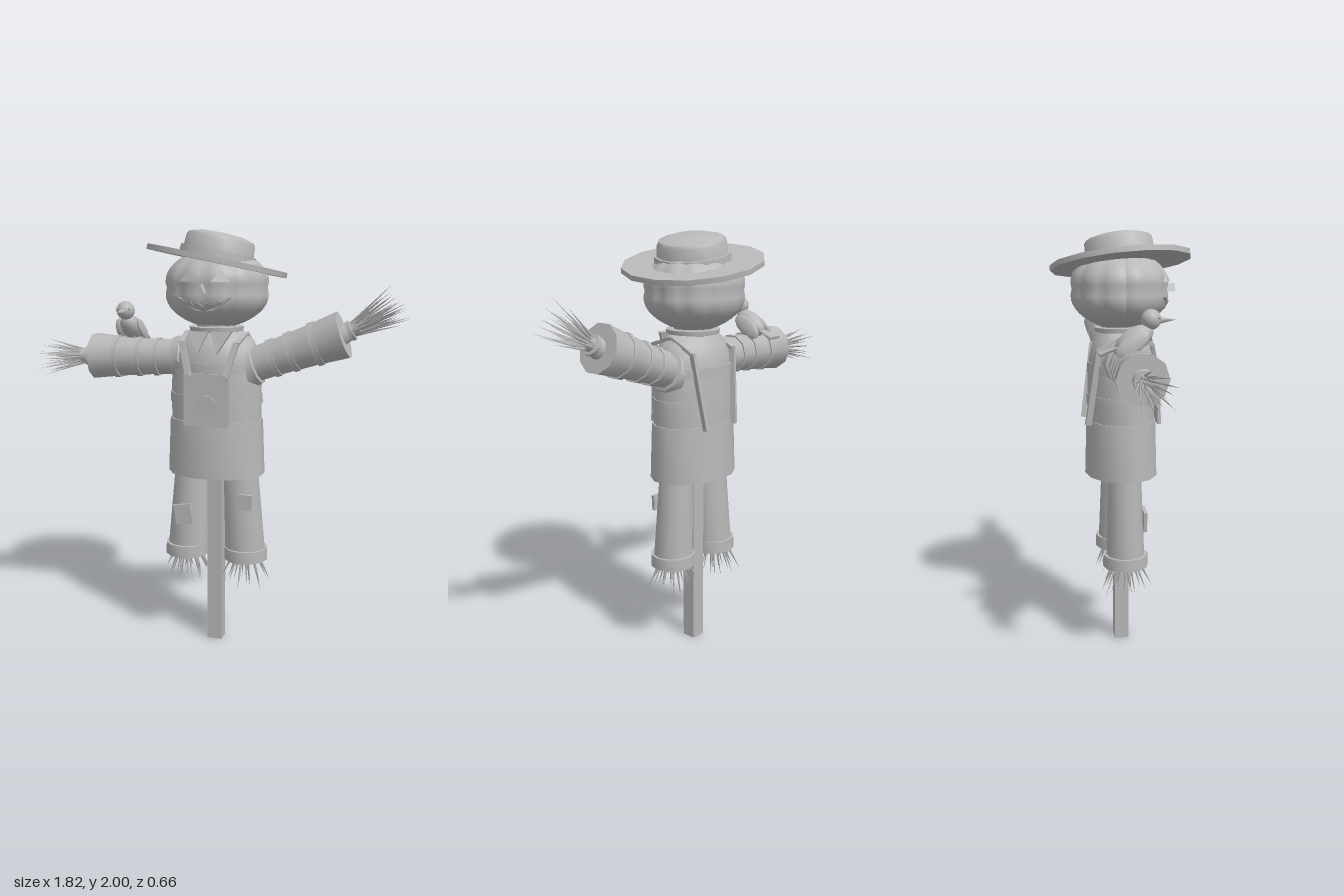
import * as THREE from 'three';
import { mergeGeometries, toCreasedNormals } from 'three/addons/utils/BufferGeometryUtils.js';

const grey = new THREE.MeshStandardMaterial({ color: 0xb8b8b8 });
grey.name = 'plain grey';

let seed = 7;
const rand = () => (seed = (seed * 16807) % 2147483647) / 2147483647;

function add(parent, name, geometry, x = 0, y = 0, z = 0) {
  const mesh = new THREE.Mesh(geometry, grey);
  mesh.name = name;
  mesh.position.set(x, y, z);
  parent.add(mesh);
  return mesh;
}

// Turned profile, listed bottom to top, optionally flattened in z
function turned(points, sides, sx = 1, sz = 1) {
  const g = new THREE.LatheGeometry(points.map(p => new THREE.Vector2(...p)), sides);
  g.scale(sx, 1, sz);
  return toCreasedNormals(g, 0.7);
}

// Bundle of thin straws pointing up +y from the origin
function straw(count, length, spread, radius) {
  const parts = [];
  for (let i = 0; i < count; i++) {
    const l = length * (0.7 + 0.3 * rand());
    const g = new THREE.ConeGeometry(0.008, l, 4);
    g.translate(0, l / 2, 0);
    const lean = spread * Math.sqrt((i + 0.5) / count);
    const turn = i * 2.4;
    g.rotateZ(-lean);
    g.translate(radius * lean / spread, 0, 0);
    g.rotateY(turn);
    parts.push(g);
  }
  return mergeGeometries(parts);
}

// Flat strip between two points, its broad face turned to z
function strip(parent, name, a, b, width, thick) {
  const p = new THREE.Vector3(...a), q = new THREE.Vector3(...b);
  const m = add(parent, name, new THREE.BoxGeometry(width, p.distanceTo(q), thick));
  m.position.copy(p).add(q).multiplyScalar(0.5);
  m.quaternion.setFromUnitVectors(new THREE.Vector3(0, 1, 0), q.sub(p).normalize());
}

const HEAD = { x: 0.235, y: 0.185, z: 0.222 };

// Pumpkin with pinched ribs
function pumpkin() {
  const g = new THREE.SphereGeometry(1, 60, 24);
  const p = g.attributes.position;
  for (let i = 0; i < p.count; i++) {
    const a = Math.atan2(p.getZ(i), p.getX(i));
    const r = 0.95 + 0.05 * Math.sqrt(Math.abs(Math.sin(a * 6)));
    const y = p.getY(i);
    const fat = 1 + 0.07 * (1 - Math.abs(y)) * Math.abs(y) * 4;
    p.setXYZ(i, p.getX(i) * r * fat * HEAD.x, y * HEAD.y, p.getZ(i) * r * fat * HEAD.z);
  }
  g.computeVertexNormals();
  return g;
}

// Carved shape laid over the curved face
function carving(points) {
  const g = new THREE.ExtrudeGeometry(new THREE.Shape(points.map(p => new THREE.Vector2(...p))),
    { depth: 0.04, bevelEnabled: false });
  const p = g.attributes.position;
  for (let i = 0; i < p.count; i++) {
    const u = p.getX(i) / HEAD.x, v = p.getY(i) / HEAD.y;
    p.setZ(i, p.getZ(i) - 0.022 + HEAD.z * Math.sqrt(Math.max(0, 1 - u * u - v * v)));
  }
  g.computeVertexNormals();
  return g;
}

function buildHead() {
  const head = new THREE.Group();
  head.name = 'head';
  head.position.set(0.01, 1.74, -0.008);
  add(head, 'pumpkin', pumpkin());
  for (const s of [-1, 1]) {
    const eye = [[0.04, 0.035], [0.115, 0.035], [0.075, 0.09]].map(([x, y]) => [x * s, y]);
    add(head, 'eye', carving(s < 0 ? eye.reverse() : eye));
  }
  add(head, 'nose', carving([[-0.018, -0.012], [0.018, -0.012], [0, 0.025]]), 0, 0, 0.025);
  const mouth = [[-0.12, -0.035], [-0.085, -0.07], [-0.04, -0.092], [0, -0.096], [0.04, -0.092],
    [0.085, -0.07], [0.12, -0.035], [0.085, -0.052], [0.06, -0.05], [0.05, -0.066], [0.02, -0.06],
    [0, -0.074], [-0.02, -0.06], [-0.05, -0.066], [-0.06, -0.05], [-0.085, -0.052]];
  add(head, 'mouth', carving(mouth));
  return head;
}

function buildHat() {
  const hat = new THREE.Group();
  hat.name = 'hat';
  hat.position.set(0.01, 1.862, 0);
  hat.rotation.set(-0.08, 0, -0.19);
  add(hat, 'brim', turned([[0, -0.012], [0.33, -0.012], [0.33, 0.012], [0, 0.012]], 14));
  add(hat, 'crown', turned([[0.168, 0], [0.16, 0.095], [0.15, 0.11], [0.1, 0.124], [0, 0.13]], 14));
  add(hat, 'hatBand', turned([[0.18, 0.01], [0.176, 0.045], [0.16, 0.045]], 14));
  return hat;
}

function buildArm(name, x, y, angle, length, handTurn) {
  const arm = new THREE.Group();
  arm.name = name;
  arm.position.set(x, y, 0);
  arm.rotation.z = angle;
  const radius = t => 0.083 + 0.029 * t * t;
  const profile = [0, 0.35, 0.7, 1].map(t => [radius(t), t * length]);
  add(arm, 'sleeve', turned([[0, 0], ...profile, [0, length]], 10));
  add(arm, 'shoulderCuff', turned([[0.085, 0.0], [0.108, 0.03], [0.1, 0.075], [0.085, 0.08]], 10));
  for (const t of [0.33, 0.51, 0.74]) {
    const r = radius(t) + 0.007, h = t * length;
    add(arm, 'sleeveStripe', turned([[r - 0.015, h - 0.013], [r, h - 0.013], [r, h + 0.013], [r - 0.015, h + 0.013]], 10));
  }
  // Straw hand tied at the wrist
  const hand = new THREE.Group();
  hand.name = 'hand';
  hand.position.y = length;
  hand.rotation.z = handTurn;
  add(hand, 'wrist', turned([[0.05, -0.02], [0.045, 0.015], [0.033, 0.04], [0.036, 0.075], [0, 0.08]], 10));
  add(hand, 'wristTie', turned([[0.03, 0.025], [0.048, 0.027], [0.048, 0.045], [0.03, 0.047]], 10));
  add(hand, 'handStraw', straw(26, 0.27, 0.3, 0.028), 0, 0.045, 0);
  arm.add(hand);
  return arm;
}

function buildLeg(s) {
  const leg = new THREE.Group();
  leg.name = s > 0 ? 'leftLeg' : 'rightLeg';
  leg.position.x = 0.01;
  const tube = turned([[0, 0.45], [0.102, 0.45], [0.085, 0.9], [0, 0.9]], 12, 1, 0.92);
  const p = tube.attributes.position;
  for (let i = 0; i < p.count; i++) p.setX(i, p.getX(i) + s * (0.148 - 0.06 * (p.getY(i) - 0.45)));
  add(leg, 'trouserLeg', tube);
  add(leg, 'trouserCuff', turned([[0, 0.437], [0.108, 0.437], [0.107, 0.495], [0.09, 0.495]], 12), s * 0.15, 0, 0);
  const tuft = add(leg, 'footStraw', straw(22, 0.16, 0.5, 0.07), s * 0.15, 0.45, 0);
  tuft.rotation.x = Math.PI;
  return leg;
}

function buildBird() {
  const bird = new THREE.Group();
  bird.name = 'bird';
  bird.position.set(-0.42, 1.5, 0);
  const body = add(bird, 'birdBody', new THREE.SphereGeometry(1, 12, 8), 0, 0.05, -0.005);
  body.scale.set(0.05, 0.05, 0.09);
  body.rotation.x = -0.55;
  add(bird, 'birdHead', new THREE.SphereGeometry(0.044, 12, 8), 0, 0.133, 0.065);
  const beak = add(bird, 'beak', new THREE.ConeGeometry(0.016, 0.07, 6), 0, 0.13, 0.135);
  beak.rotation.x = Math.PI / 2;
  const tail = add(bird, 'birdTail', new THREE.CylinderGeometry(0.05, 0.022, 0.1, 4, 1).rotateY(Math.PI / 4), 0, 0.005, -0.11);
  tail.rotation.x = -Math.PI / 2 - 0.35;
  tail.scale.z = 0.2;
  for (const s of [-1, 1]) {
    const wing = add(bird, 'wing', new THREE.SphereGeometry(1, 10, 6), s * 0.052, 0.035, -0.02);
    wing.scale.set(0.014, 0.04, 0.085);
    wing.rotation.set(-0.6, 0, s * 0.25);
    add(bird, 'birdEye', new THREE.SphereGeometry(0.008, 6, 4), s * 0.03, 0.142, 0.095);
    add(bird, 'birdLeg', new THREE.CylinderGeometry(0.005, 0.005, 0.05, 5), s * 0.02, -0.002, 0.01);
  }
  return bird;
}

export function createModel() {
  const model = new THREE.Group();
  model.name = 'scarecrow';
  add(model, 'post', new THREE.BoxGeometry(0.072, 1.5, 0.068), 0.01, 0.75, 0);

  // Shirt, stripes and overall skirt, wider than deep
  const flat = 0.74;
  add(model, 'shirt', turned([[0.218, 1.1], [0.217, 1.3], [0.208, 1.42], [0.18, 1.5], [0.125, 1.545], [0, 1.55]], 14, 1, flat), 0.01);
  for (const [y, r] of [[1.23, 0.218], [1.38, 0.213]])
    add(model, 'shirtStripe', turned([[r - 0.01, y - 0.024], [r + 0.005, y - 0.024], [r + 0.004, y + 0.024], [r - 0.012, y + 0.024]], 14, 1, flat), 0.01);
  add(model, 'overallSkirt', turned([[0, 0.865], [0.236, 0.865], [0.225, 1.13], [0.2, 1.13]], 14, 1, flat), 0.01);

  // Neck and collar
  add(model, 'neck', new THREE.CylinderGeometry(0.09, 0.1, 0.1, 12), 0.01, 1.56, 0);
  add(model, 'collarRing', turned([[0.1, 1.54], [0.125, 1.545], [0.128, 1.565], [0.1, 1.567]], 14), 0.01);
  for (const s of [-1, 1]) {
    const flap = new THREE.Shape([[0.005, 0], [0.105, 0], [0.045, -0.1]].map(([x, y]) => new THREE.Vector2(x * s, y)));
    const m = add(model, 'collarFlap', new THREE.ExtrudeGeometry(flap, { depth: 0.015, bevelEnabled: false }), 0.01, 1.545, 0.11);
    m.rotation.x = -0.3;
  }

  // Bib, pocket patch, straps and buttons
  const bib = add(model, 'bib', new THREE.BoxGeometry(0.215, 0.245, 0.016), 0.01, 1.238, 0.164);
  bib.rotation.x = -0.03;
  const patch = add(model, 'bibPatch', new THREE.CylinderGeometry(0.05, 0.05, 0.012, 8).rotateX(Math.PI / 2), 0.008, 1.22, 0.175);
  patch.scale.y = 0.8;
  patch.rotation.z = 0.3;
  for (const s of [-1, 1]) {
    const x = v => 0.01 + s * v;
    strip(model, 'frontStrap', [x(0.085), 1.34, 0.165], [x(0.13), 1.5, 0.125], 0.028, 0.016);
    strip(model, 'shoulderStrap', [x(0.13), 1.495, 0.13], [x(0.14), 1.535, 0], 0.028, 0.016);
    strip(model, 'shoulderStrap', [x(0.14), 1.535, 0], [x(0.14), 1.47, -0.125], 0.028, 0.016);
    strip(model, 'backStrap', [x(0.14), 1.475, -0.12], [x(0.1), 1.12, -0.168], 0.028, 0.016);
    add(model, 'strapButton', new THREE.CylinderGeometry(0.016, 0.016, 0.014, 8).rotateX(Math.PI / 2), x(0.085), 1.345, 0.175);
    model.add(buildLeg(s));
  }

  // Knee patches
  const kneeR = add(model, 'kneePatch', new THREE.BoxGeometry(0.085, 0.1, 0.016), -0.13, 0.66, 0.092);
  kneeR.rotation.z = 0.14;
  const kneeL = add(model, 'kneePatch', new THREE.BoxGeometry(0.075, 0.075, 0.016), 0.17, 0.742, 0.082);
  kneeL.rotation.z = -0.05;

  model.add(
    buildArm('rightArm', -0.12, 1.415, Math.PI / 2 + 0.02, 0.49, 0.02),
    buildArm('leftArm', 0.135, 1.37, -Math.PI / 2 + 0.35, 0.5, 0.15),
    buildHead(), buildHat(), buildBird());
  return model;
}
